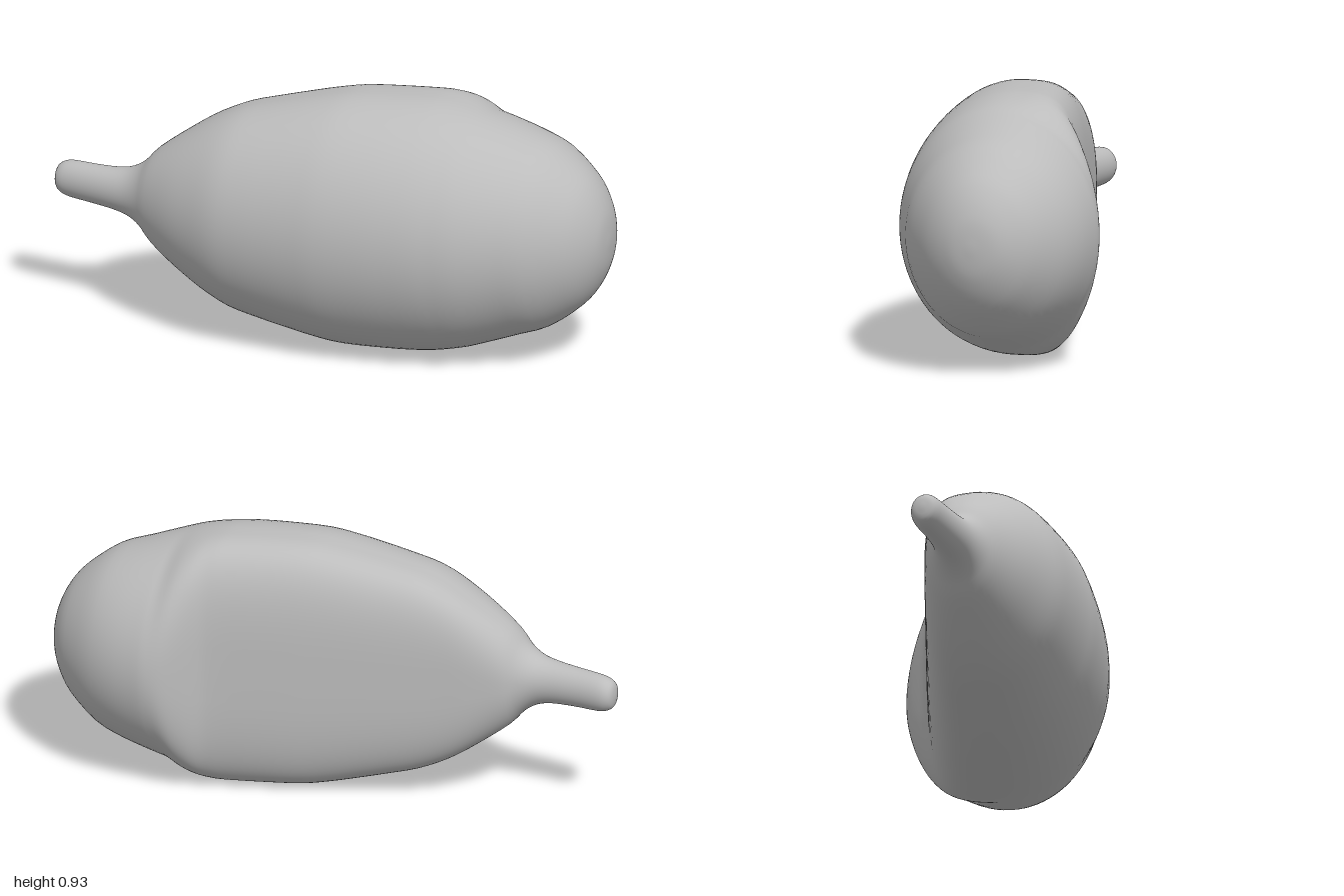
import * as THREE from 'three';

// Stations along the gourd: x, half height, front z, back z
const STATIONS = [
  [-1.0, 0, 0.12, 0.12], [-0.993, 0.038, 0.153, 0.088], [-0.975, 0.056, 0.168, 0.073],
  [-0.94, 0.066, 0.177, 0.068], [-0.85, 0.07, 0.192, 0.075], [-0.76, 0.077, 0.208, 0.076],
  [-0.7, 0.092, 0.222, 0.066], [-0.65, 0.125, 0.245, 0.042], [-0.6, 0.18, 0.28, 0.01],
  [-0.5, 0.255, 0.335, -0.026], [-0.4, 0.32, 0.375, -0.056], [-0.3, 0.367, 0.405, -0.086],
  [-0.2, 0.395, 0.413, -0.116], [-0.1, 0.42, 0.414, -0.146], [0, 0.443, 0.413, -0.176],
  [0.1, 0.459, 0.41, -0.206], [0.25, 0.463, 0.39, -0.25], [0.35, 0.462, 0.372, -0.281],
  [0.4, 0.458, 0.362, -0.305], [0.45, 0.449, 0.35, -0.352], [0.5, 0.436, 0.335, -0.396],
  [0.55, 0.419, 0.32, -0.417], [0.6, 0.402, 0.3, -0.42], [0.7, 0.367, 0.25, -0.41],
  [0.8, 0.328, 0.2, -0.377], [0.9, 0.25, 0.115, -0.312], [0.95, 0.188, 0.055, -0.26],
  [0.98, 0.125, 0, -0.212], [0.994, 0.07, -0.045, -0.165], [1.0, 0, -0.105, -0.105],
];
const CENTER_Y = 0.463;
const RINGS = (STATIONS.length - 1) * 3;
const SIDES = 80;

const curveOf = (pick) => new THREE.CatmullRomCurve3(
  STATIONS.map(pick), false, 'catmullrom', 0.5);

// Round front, with a flattened back between the stem and the bulb
function buildGourd() {
  const heights = curveOf(([x, h]) => new THREE.Vector3(x, h, 0));
  const depths = curveOf(([x, , front, back]) => new THREE.Vector3(x, front, back));
  const positions = [];
  const indices = [];

  for (let i = 0; i <= RINGS; i++) {
    const { x, y: h } = heights.getPoint(i / RINGS);
    const { y: front, z: back } = depths.getPoint(i / RINGS);
    const flat = THREE.MathUtils.smoothstep(x, -0.72, -0.4)
      * (1 - THREE.MathUtils.smoothstep(x, 0.36, 0.56));
    const middle = THREE.MathUtils.lerp(back, front, 0.5 - 0.13 * flat);
    const power = 2 / (2 + 1.4 * flat);

    for (let j = 0; j < SIDES; j++) {
      const a = (j / SIDES) * Math.PI * 2;
      const c = Math.cos(a);
      const s = Math.sin(a);
      const p = c < 0 ? power : 1;
      const y = Math.sign(s) * Math.abs(s) ** p * h;
      const reach = c < 0 ? back - middle : front - middle;
      positions.push(x, CENTER_Y + y, middle + Math.abs(c) ** p * reach);

      if (i < RINGS) {
        const k = (j + 1) % SIDES;
        const r0 = i * SIDES;
        const r1 = r0 + SIDES;
        if (i > 0) indices.push(r0 + j, r1 + j, r0 + k);
        if (i < RINGS - 1) indices.push(r1 + j, r1 + k, r0 + k);
        else indices.push(r0 + k, r0 + j, r1 + j);
        if (i === RINGS - 1) indices.length -= 3; // the end ring is a single point
      }
    }
  }

  const geometry = new THREE.BufferGeometry();
  geometry.setAttribute('position', new THREE.Float32BufferAttribute(positions, 3));
  geometry.setIndex(indices);
  geometry.computeVertexNormals();
  // Tips point straight along the axis
  const normal = geometry.attributes.normal;
  for (let j = 0; j < SIDES; j++) {
    normal.setXYZ(j, -1, 0, 0);
    normal.setXYZ(RINGS * SIDES + j, 1, 0, 0);
  }
  return geometry;
}

export function createModel() {
  const skin = new THREE.MeshStandardMaterial({ color: 0xbcbcbc });
  skin.name = 'light grey';

  const body = new THREE.Mesh(buildGourd(), skin);
  body.name = 'bodyWithStem';

  const model = new THREE.Group();
  model.name = 'gourd';
  model.add(body);
  return model;
}
